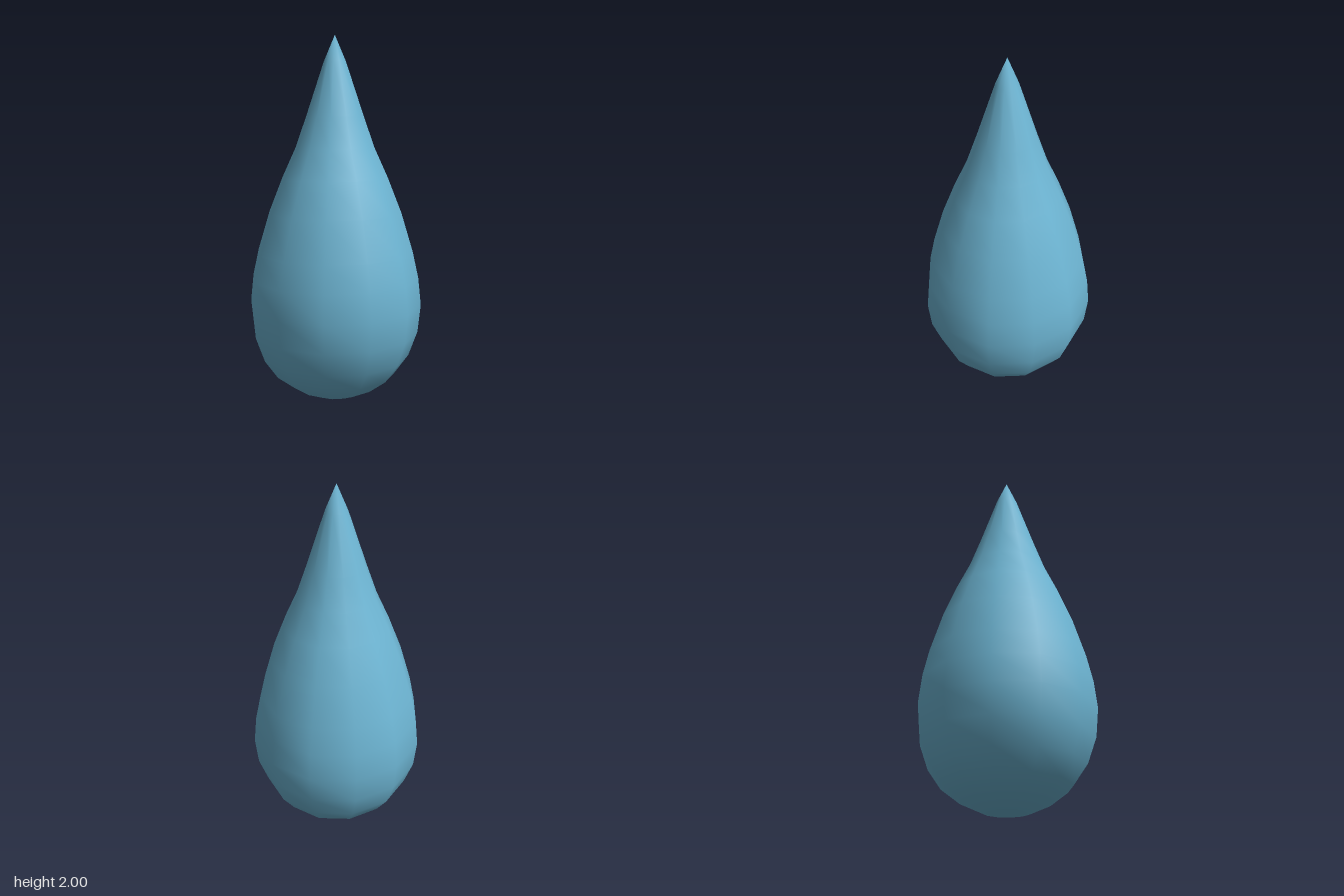
import * as THREE from 'three';
import { mergeVertices } from 'three/addons/utils/BufferGeometryUtils.js';

export function createModel() {
  const group = new THREE.Group();
  group.name = 'waterDrop';

  // Profile from the bottom pole to the pointed tip: [radius, height]
  const profile = [
    [0, 0], [0.125, 0.02], [0.238, 0.07], [0.34, 0.147], [0.413, 0.25],
    [0.462, 0.385], [0.478, 0.54], [0.462, 0.69], [0.43, 0.835], [0.365, 1.05],
    [0.29, 1.24], [0.217, 1.4], [0.157, 1.57], [0.06, 1.86], [0, 2],
  ].map(([r, y]) => new THREE.Vector2(r, y));

  // Twelve-sided body, welded so the shading is smooth across seam and poles
  const lathe = new THREE.LatheGeometry(profile, 12);
  lathe.deleteAttribute('uv');
  lathe.deleteAttribute('normal');
  const geometry = mergeVertices(lathe, 1e-4);
  geometry.computeVertexNormals();

  const drop = new THREE.Mesh(geometry, new THREE.MeshStandardMaterial({ color: 0x6db5d3 }));
  drop.name = 'dropBody';
  group.add(drop);
  return group;
}
